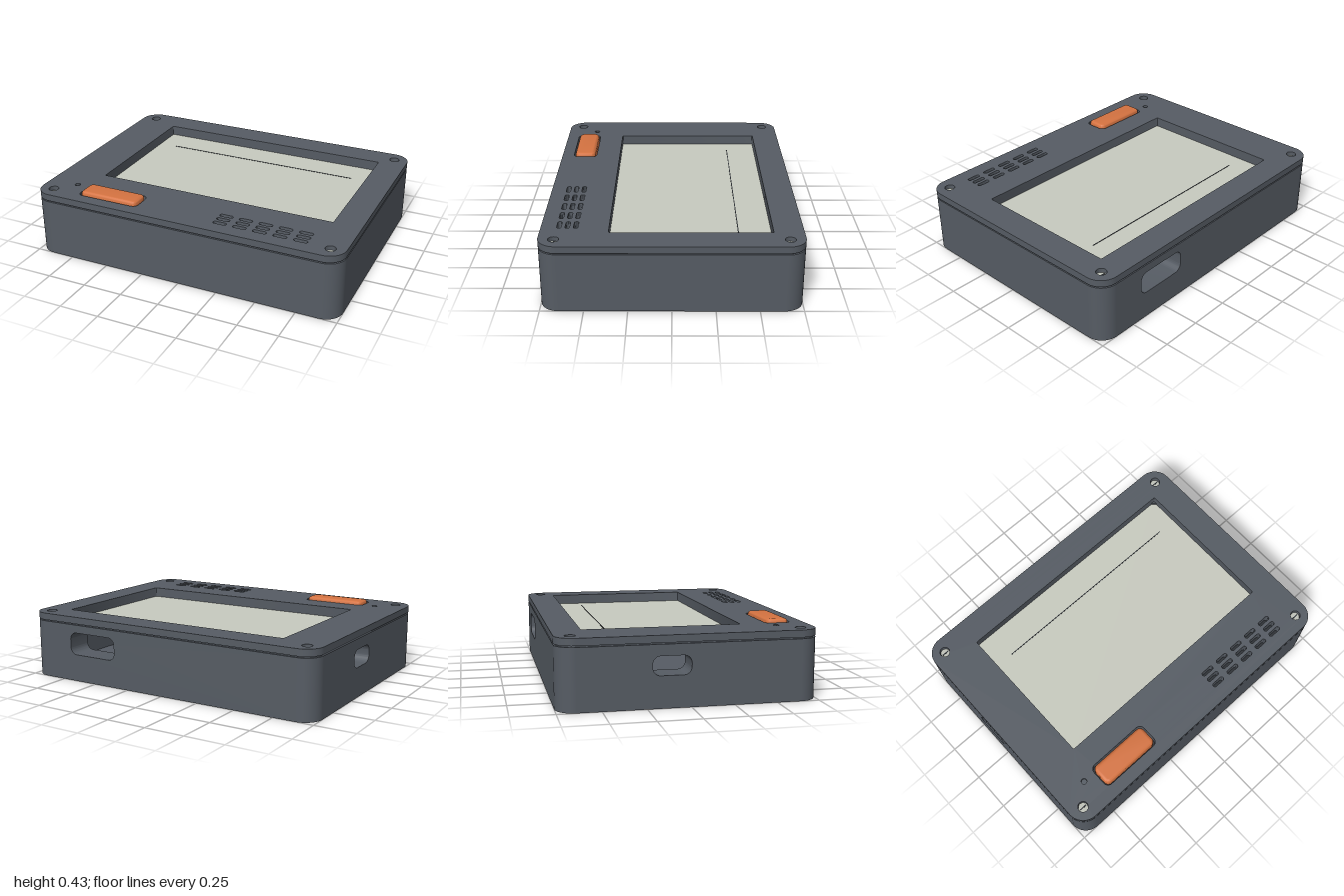
import * as THREE from 'three';
import { toCreasedNormals } from 'three/addons/utils/BufferGeometryUtils.js';

const mat = (name, color) => {
  const m = new THREE.MeshStandardMaterial({ color });
  m.name = name;
  return m;
};

// Rounded rectangle outline centred on (cx, cy)
function roundRect(cx, cy, w, h, r, Kind = THREE.Shape) {
  const s = new Kind(), a = w / 2 - r, b = h / 2 - r;
  s.absarc(cx + a, cy + b, r, 0, Math.PI / 2);
  s.absarc(cx - a, cy + b, r, Math.PI / 2, Math.PI);
  s.absarc(cx - a, cy - b, r, Math.PI, Math.PI * 1.5);
  s.absarc(cx + a, cy - b, r, Math.PI * 1.5, Math.PI * 2);
  s.closePath();
  return s;
}

const extrude = (shape, depth, extra = {}) => toCreasedNormals(
  new THREE.ExtrudeGeometry(shape, { depth, bevelEnabled: false, curveSegments: 10, ...extra }), 0.6);

// Extrude a plan shape (x, -z) upwards from y0 to y1
const slab = (shape, y0, y1, extra) =>
  extrude(shape, y1 - y0, extra).rotateX(-Math.PI / 2).translate(0, y0, 0);

export function createModel() {
  const group = new THREE.Group();
  const shell = mat('slate grey', 0x565c64);
  const dark = mat('charcoal', 0x2c3035);
  const pale = mat('pale screen', 0xc8cbc0);
  const metal = mat('screw metal', 0xbfc2b8);
  const orange = mat('orange', 0xd57341);
  const add = (name, geometry, material, parent = group) => {
    const m = new THREE.Mesh(geometry, material);
    m.name = name;
    parent.add(m);
    return m;
  };
  const box = (w, h, d, x, y, z) => new THREE.BoxGeometry(w, h, d).translate(x, y, z);

  const R = 0.11, bodyTop = 0.36, lidBase = 0.368, lidTop = 0.41, wall = 0.16;

  // Lower case: floor, corner posts, plain front and left walls
  const body = new THREE.Group();
  body.name = 'lowerCase';
  group.add(body);
  add('floor', slab(roundRect(0, 0, 1.98, 1.48, R), 0, 0.04), shell, body);
  for (const sx of [-1, 1]) for (const sz of [-1, 1])
    add('cornerPost', new THREE.CylinderGeometry(R, R, bodyTop, 48)
      .translate(sx * (1 - R), bodyTop / 2, sz * (0.75 - R)), shell, body);
  add('frontWall', box(2 - 2 * R, bodyTop, 0.05, 0, bodyTop / 2, 0.725), shell, body);
  add('leftWall', box(0.05, bodyTop, 1.5 - 2 * R, 0.975, bodyTop / 2, 0), shell, body);

  // Back and right walls, each with a deep port opening
  const portWall = (length, px, w, h) => {
    const s = roundRect(0, bodyTop / 2, length, bodyTop, 0.0005);
    s.holes.push(roundRect(px, 0.24, w, h, 0.045, THREE.Path));
    return extrude(s, wall);
  };
  add('backWall', portWall(2 - 2 * R, 0.515, 0.34, 0.14).translate(0, 0, -0.75), shell, body);
  add('rightWall', portWall(1.5 - 2 * R, 0.11, 0.22, 0.11)
    .rotateY(Math.PI / 2).translate(-1, 0, 0), shell, body);

  // Lid and the inset liner that forms the seam, sharing the same openings
  const screws = [];
  for (const x of [-0.91, 0.91]) for (const z of [-0.66, 0.66]) screws.push([x, z]);
  const pierced = (w, d, r) => {
    const s = roundRect(0, 0, w, d, r);
    const hole = (x, z, hw, hd, hr) => s.holes.push(roundRect(x, -z, hw, hd, hr, THREE.Path));
    hole(0.052, -0.108, 1.545, 0.935, 0.008); // screen window
    hole(-0.52, 0.595, 0.41, 0.155, 0.035); // button
    hole(-0.805, 0.55, 0.034, 0.034, 0.0169); // indicator
    for (const [x, z] of screws) hole(x, z, 0.062, 0.062, 0.0309);
    for (let i = 0; i < 5; i++) for (let j = 0; j < 3; j++)
      hole(0.23 + i * 0.125, 0.55 + j * 0.048, 0.085, 0.026, 0.0129); // speaker slots
    return s;
  };
  add('lid', slab(pierced(2, 1.5, R), lidBase, lidTop), shell);
  add('seamLiner', slab(pierced(1.976, 1.476, R - 0.012), 0.335, lidBase), shell);

  // Screen with a thin rule across it
  add('screen', box(1.56, 0.015, 0.95, 0.052, 0.3395, -0.108), pale);
  add('screenRule', box(1.3, 0.002, 0.005, 0.05, 0.348, -0.385), dark);

  // Speaker behind the slots, indicator and button well
  add('speaker', box(0.64, 0.01, 0.18, 0.48, 0.335, 0.598), dark);
  add('buttonWell', box(0.43, 0.01, 0.18, -0.52, 0.34, 0.595), dark);
  add('indicator', new THREE.CylinderGeometry(0.018, 0.018, 0.04, 20)
    .translate(-0.805, 0.37, 0.55), shell);

  // Button with a softened top edge
  add('button', slab(roundRect(-0.52, -0.595, 0.35, 0.095, 0.012), 0.36, 0.41,
    { bevelEnabled: true, bevelSize: 0.02, bevelThickness: 0.02, bevelSegments: 4 }), orange);

  // Recessed slotted screws
  for (const [x, z] of screws) {
    add('screw', new THREE.CylinderGeometry(0.029, 0.029, 0.035, 24).translate(x, 0.3675, z), metal);
    add('screwSlot', box(0.046, 0.002, 0.007, x, 0.386, z), dark);
  }
  return group;
}
